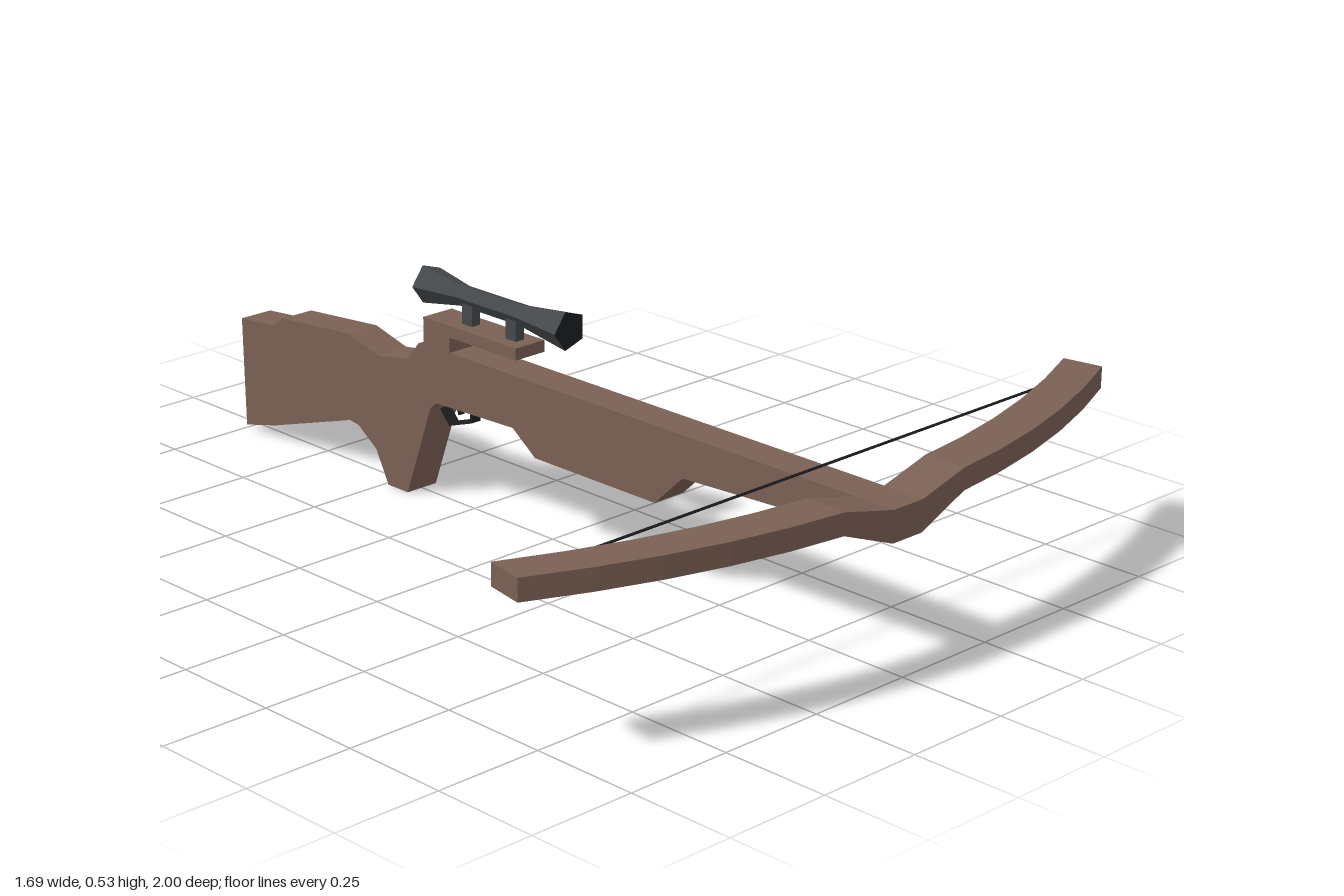
import * as THREE from 'three';

const mat = (name, color) => {
  const m = new THREE.MeshStandardMaterial({ color, flatShading: true });
  m.name = name;
  return m;
};

export function createModel() {
  const wood = mat('wood', 0x7a6054);
  const metal = mat('scope metal', 0x45484b);
  const black = mat('black', 0x1c1e21);
  const model = new THREE.Group();
  const W = 0.084; // stock width

  const add = (name, geo, material, x = 0, y = 0, z = 0, parent = model) => {
    const mesh = new THREE.Mesh(geo, material);
    mesh.name = name;
    mesh.position.set(x, y, z);
    parent.add(mesh);
    return mesh;
  };

  // Flat bar from a to b in the side plane, points as [z, y]
  const bar = (name, a, b, width, thick, parent) => {
    const dz = b[0] - a[0], dy = b[1] - a[1];
    const m = add(name, new THREE.BoxGeometry(width, thick, Math.hypot(dz, dy) + thick * 0.6),
      black, 0, (a[1] + b[1]) / 2, (a[0] + b[0]) / 2, parent);
    m.rotation.x = -Math.atan2(dy, dz);
  };

  // Stock with grip, butt and sight rail: side outline [z, y]
  const outline = [
    [0.91, 0.365], [-0.28, 0.365], [-0.28, 0.4], [-0.07, 0.4], [-0.07, 0.427], [-0.365, 0.427],
    [-0.365, 0.365], [-0.382, 0.362], [-0.42, 0.315], [-0.52, 0.3], [-0.62, 0.326], [-0.85, 0.306],
    [-0.885, 0.281], [-1, 0.27], [-0.993, 0.01], [-0.89, 0.035], [-0.62, 0.12], [-0.59, 0.116],
    [-0.53, 0.075], [-0.49, 0], [-0.425, 0], [-0.345, 0.22], [-0.325, 0.237], [-0.08, 0.245],
    [-0.01, 0.195], [0.35, 0.195], [0.43, 0.271], [0.91, 0.295],
  ].map(([z, y]) => new THREE.Vector2(z, y));
  const stock = new THREE.ExtrudeGeometry(new THREE.Shape(outline), { depth: W, bevelEnabled: false });
  stock.translate(0, 0, -W / 2).rotateY(-Math.PI / 2);
  add('stock', stock, wood);

  // Bow: rectangular sections swept along a shallow curve, dipped at the middle
  const half = [0.05, 0.207, 0.36, 0.52, 0.68, 0.84, 1];
  const stations = [...half.map(s => -s).reverse(), ...half];
  const sections = stations.map(s => {
    const lift = Math.abs(s) < 0.1 ? 0 : 1;
    const bottom = 0.295 + 0.05 * lift, top = 0.365 + 0.029 * lift;
    const front = 1 - 0.2 * s * s, back = 0.9 - 0.19 * s * s;
    return [[0.847 * s, bottom, front], [0.847 * s, top, front], [0.83 * s, top, back], [0.83 * s, bottom, back]];
  });
  const pos = [];
  const quad = (a, b, c, d) => pos.push(...a, ...b, ...c, ...a, ...c, ...d);
  for (let i = 0; i < sections.length - 1; i++) {
    const p = sections[i], q = sections[i + 1];
    for (let k = 0; k < 4; k++) quad(p[k], q[k], q[(k + 1) % 4], p[(k + 1) % 4]);
  }
  quad(...sections[0]);
  quad(...[...sections[sections.length - 1]].reverse());
  const bow = new THREE.BufferGeometry();
  bow.setAttribute('position', new THREE.Float32BufferAttribute(pos, 3));
  bow.computeVertexNormals();
  add('bow', bow, wood);

  // Bowstring
  add('bowstring', new THREE.CylinderGeometry(0.003, 0.003, 1.5, 5).rotateZ(Math.PI / 2), black, 0, 0.37, 0.75);

  // Five-sided scope, flared at both ends
  const scope = new THREE.Group();
  scope.name = 'scope';
  scope.position.set(0.003, 0.487, 0);
  model.add(scope);
  const rings = [[0.05, 0.045], [-0.095, 0.025], [-0.285, 0.025], [-0.4, 0.045]];
  for (let i = 0; i < 3; i++) {
    const [z0, r0] = rings[i], [z1, r1] = rings[i + 1];
    const tube = new THREE.CylinderGeometry(r0, r1, z0 - z1, 5, 1, true, -Math.PI / 2);
    add('scopeTube', tube.rotateX(Math.PI / 2), metal, 0, 0, (z0 + z1) / 2, scope);
  }
  add('frontLens', new THREE.CircleGeometry(0.045, 5, Math.PI), black, 0, 0, 0.05, scope);
  add('rearLens', new THREE.CircleGeometry(0.045, 5, 0).rotateY(Math.PI), black, 0, 0, -0.4, scope);

  // Scope mounts
  for (const z of [-0.118, -0.256])
    add('scopeMount', new THREE.BoxGeometry(0.024, 0.055, 0.032), metal, 0, 0.451, z);

  // Trigger and guard
  const trigger = new THREE.Group();
  trigger.name = 'triggerGroup';
  model.add(trigger);
  const guard = [[-0.243, 0.245], [-0.245, 0.207], [-0.315, 0.183], [-0.342, 0.212]];
  for (let i = 0; i < 3; i++) bar('triggerGuard', guard[i], guard[i + 1], 0.026, 0.006, trigger);
  bar('trigger', [-0.302, 0.243], [-0.29, 0.212], 0.014, 0.006, trigger);

  return model;
}
